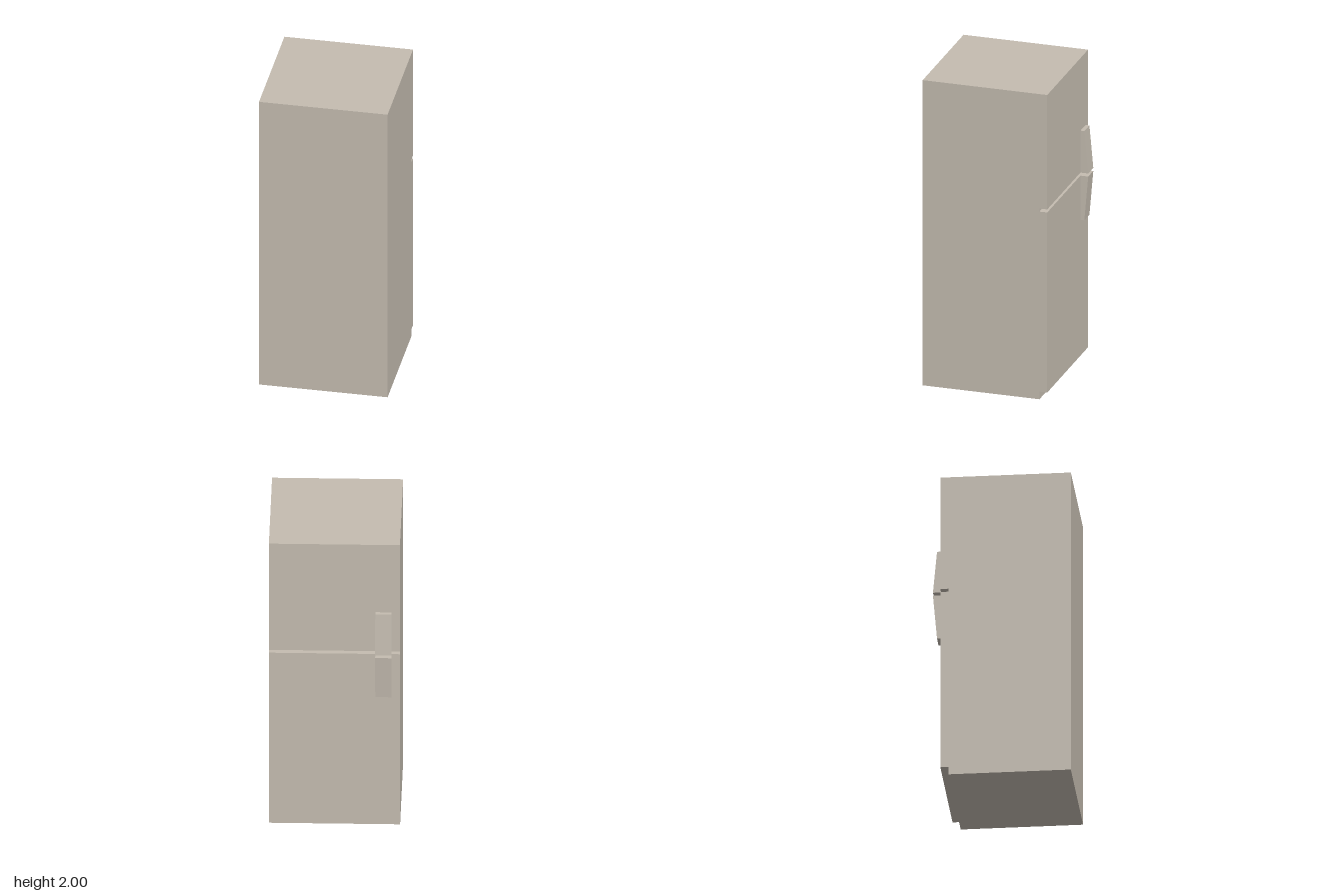
import * as THREE from 'three';

export function createModel() {
  const enamel = new THREE.MeshStandardMaterial({ color: 0xc4bcb0 });
  enamel.name = 'warm grey enamel';
  const model = new THREE.Group();
  model.name = 'refrigerator';

  const add = (name, geometry) => {
    const mesh = new THREE.Mesh(geometry, enamel);
    mesh.name = name;
    model.add(mesh);
  };

  // Box spanning the full width between two heights and two depths
  const slab = (name, y0, y1, z0, z1) => add(name,
    new THREE.BoxGeometry(0.8, y1 - y0, z1 - z0).translate(0, (y0 + y1) / 2, (z0 + z1) / 2));

  // Wedge handle: thick at the door gap, thinner at its far end
  const handle = (name, yGap, yEnd) => {
    const profile = new THREE.Shape([
      new THREE.Vector2(0.375, yGap), new THREE.Vector2(0.425, yGap),
      new THREE.Vector2(0.4, yEnd), new THREE.Vector2(0.375, yEnd),
    ]);
    add(name, new THREE.ExtrudeGeometry(profile, { depth: 0.1, bevelEnabled: false })
      .rotateY(Math.PI / 2).translate(-0.35, 0, 0));
  };

  // Cabinet, with the doors set on its -z side above a recessed plinth
  slab('cabinet', 0, 2, -0.325, 0.425);
  slab('lowerDoor', 0.05, 1.23, -0.375, -0.325);
  slab('freezerDoor', 1.25, 2, -0.375, -0.325);

  handle('lowerHandle', 1.23, 0.94);
  handle('freezerHandle', 1.25, 1.525);
  return model;
}
